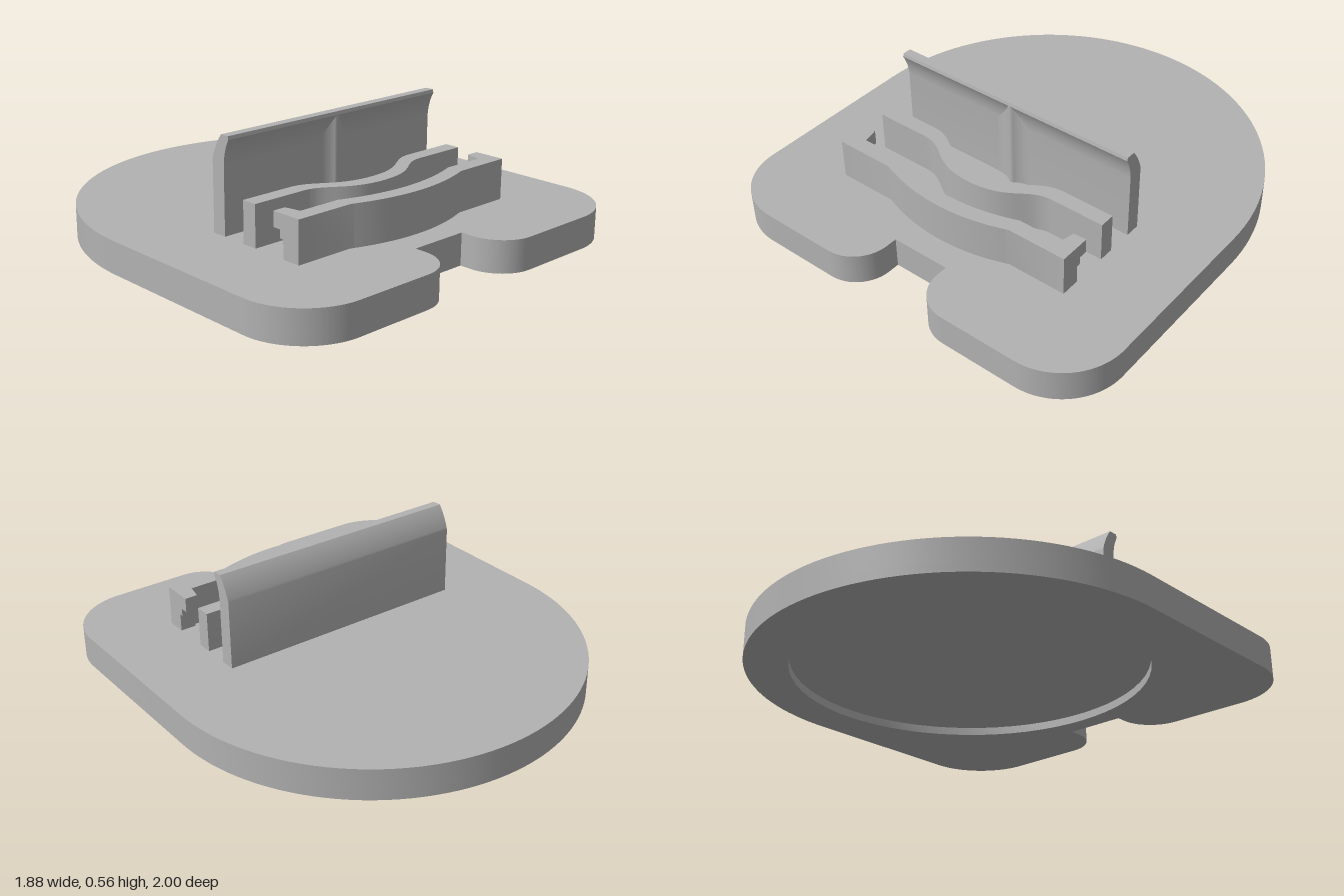
import * as THREE from 'three';
import { toCreasedNormals } from 'three/addons/utils/BufferGeometryUtils.js';

const grey = new THREE.MeshStandardMaterial({ color: 0xb2b2b2 });
grey.name = 'plain grey';

function part(name, geometry) {
  const mesh = new THREE.Mesh(toCreasedNormals(geometry, 0.5), grey);
  mesh.name = name;
  return mesh;
}

// plan outline in (x, z), raised from y0 to y1
function slab(shape, y0, y1) {
  return new THREE.ExtrudeGeometry(shape, { depth: y1 - y0, bevelEnabled: false, curveSegments: 32 })
    .rotateX(Math.PI / 2).translate(0, y1, 0);
}

// side profile in (z, y), drawn out from x0 to x1
function bar(shape, x0, x1) {
  return new THREE.ExtrudeGeometry(shape, { depth: x1 - x0, bevelEnabled: false, curveSegments: 12 })
    .rotateY(-Math.PI / 2).translate(x1, 0, 0);
}

// rounded back, rounded front corners and a front notch
function baseOutline() {
  const s = new THREE.Shape();
  s.moveTo(0.94, -0.06);
  s.absarc(0, -0.06, 0.94, 0, Math.PI, true);
  s.lineTo(-0.94, 0.71);
  s.absarc(-0.65, 0.71, 0.29, Math.PI, Math.PI / 2, true);
  s.lineTo(-0.3, 1);
  s.absarc(-0.3, 0.835, 0.165, Math.PI / 2, 0, true);
  s.lineTo(-0.135, 0.785);
  s.lineTo(0.135, 0.785);
  s.lineTo(0.135, 0.835);
  s.absarc(0.3, 0.835, 0.165, Math.PI, Math.PI / 2, true);
  s.lineTo(0.65, 1);
  s.absarc(0.65, 0.71, 0.29, Math.PI / 2, 0, true);
  s.closePath();
  return s;
}

function middleRail() {
  const s = new THREE.Shape(), t = 0.07;
  s.moveTo(-0.588, 0.3);
  s.lineTo(-0.35, 0.3);
  s.bezierCurveTo(-0.22, 0.3, -0.2, 0.417, 0, 0.417);
  s.bezierCurveTo(0.2, 0.417, 0.22, 0.3, 0.35, 0.3);
  s.lineTo(0.588, 0.3);
  s.lineTo(0.588, 0.3 + t);
  s.lineTo(0.34, 0.3 + t);
  s.bezierCurveTo(0.22, 0.3 + t, 0.2, 0.417 + t, 0, 0.417 + t);
  s.bezierCurveTo(-0.2, 0.417 + t, -0.22, 0.3 + t, -0.34, 0.3 + t);
  s.lineTo(-0.588, 0.3 + t);
  s.closePath();
  return s;
}

function frontRail() {
  const s = new THREE.Shape();
  s.moveTo(-0.588, 0.545);
  s.lineTo(-0.32, 0.545);
  s.quadraticCurveTo(-0.16, 0.605, 0, 0.605);
  s.quadraticCurveTo(0.16, 0.605, 0.32, 0.545);
  s.lineTo(0.588, 0.545);
  s.lineTo(0.588, 0.615);
  s.lineTo(0.32, 0.615);
  s.quadraticCurveTo(0.16, 0.675, 0, 0.675);
  s.quadraticCurveTo(-0.16, 0.675, -0.32, 0.615);
  s.lineTo(-0.588, 0.615);
  s.closePath();
  return s;
}

// stepped hook profile, open underneath
function hook(side) {
  const s = new THREE.Shape([[0.546, 0.14], [0.546, 0.32], [0.475, 0.32], [0.475, 0.255],
    [0.513, 0.255], [0.513, 0.22], [0.53, 0.22], [0.53, 0.14]].map(p => new THREE.Vector2(...p)));
  const g = bar(s, -0.03, 0.03);
  const p = g.attributes.position;
  // slant the inner face
  for (let i = 0; i < p.count; i++) {
    const inner = p.getX(i) * side < 0;
    p.setX(i, side * (inner ? 0.53 - (p.getZ(i) - 0.475) * 0.22 : 0.588));
  }
  g.computeVertexNormals();
  return g;
}

export function createModel() {
  const model = new THREE.Group();
  model.name = 'stand';

  // base with a shallow round recess below
  const lower = baseOutline();
  const hole = new THREE.Path();
  hole.absarc(0, -0.06, 0.755, 0, Math.PI * 2, false);
  lower.holes.push(hole);
  model.add(part('baseLower', slab(lower, 0, 0.035)));
  model.add(part('baseUpper', slab(baseOutline(), 0.035, 0.14)));

  // tall back rest with a curved lip
  const rest = new THREE.Shape();
  rest.moveTo(0.118, 0.14);
  rest.lineTo(0.186, 0.14);
  rest.lineTo(0.186, 0.43);
  rest.quadraticCurveTo(0.188, 0.49, 0.216, 0.54);
  rest.lineTo(0.213, 0.555);
  rest.lineTo(0.172, 0.555);
  rest.quadraticCurveTo(0.136, 0.51, 0.118, 0.45);
  rest.closePath();
  model.add(part('backRest', bar(rest, -0.588, 0.588)));

  // ridge up the middle of the back rest
  const ridge = new THREE.Shape();
  ridge.moveTo(-0.085, 0.18);
  ridge.lineTo(-0.085, 0.186);
  ridge.quadraticCurveTo(-0.04, 0.188, -0.012, 0.21);
  ridge.quadraticCurveTo(0, 0.22, 0.012, 0.21);
  ridge.quadraticCurveTo(0.04, 0.188, 0.085, 0.186);
  ridge.lineTo(0.085, 0.18);
  ridge.closePath();
  model.add(part('centreRidge', slab(ridge, 0.14, 0.54)));

  // low curved rails and end hooks
  model.add(part('middleRail', slab(middleRail(), 0.14, 0.32)));
  model.add(part('frontRail', slab(frontRail(), 0.14, 0.32)));
  for (const side of [-1, 1]) {
    model.add(part(side > 0 ? 'leftHook' : 'rightHook', hook(side)));
  }
  return model;
}
